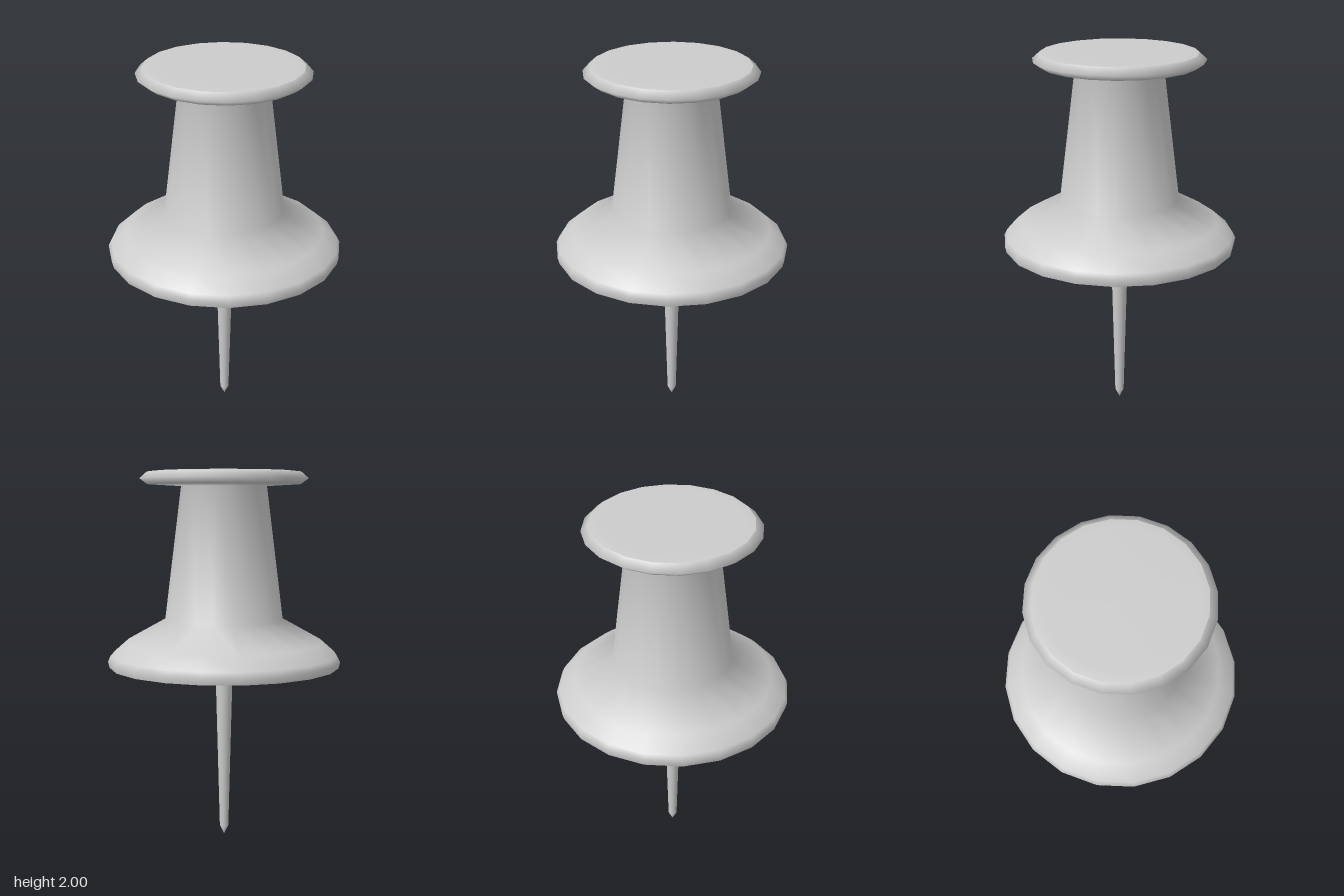
import * as THREE from 'three';

const SIDES = 20;

// Spin an [radius, height] profile, listed from bottom to top, around the y axis
function turned(name, profile, sides, material) {
  const points = profile.map(([r, y]) => new THREE.Vector2(r, y));
  const mesh = new THREE.Mesh(new THREE.LatheGeometry(points, sides), material);
  mesh.name = name;
  return mesh;
}

export function createModel() {
  const group = new THREE.Group();
  group.name = 'pushPin';
  const material = new THREE.MeshStandardMaterial({ color: 0xcccccc });

  // Flat underside, separate so its rim stays sharp
  group.add(turned('underside', [[0, 0.955], [0.622, 0.955]], SIDES, material));

  // Domed flange, tapered grip and rounded cap as one smooth body
  group.add(turned('handle', [
    [0.622, 0.955],
    [0.63, 0.99],
    [0.615, 1.02],
    [0.535, 1.09],
    [0.32, 1.21],
    [0.23, 1.92],
    [0.41, 1.93],
    [0.45, 1.96],
    [0.41, 1.995],
  ], SIDES, material));

  // Almost flat top of the cap
  group.add(turned('capTop', [[0.41, 1.995], [0.36, 2], [0, 2]], SIDES, material));

  // Tapered needle with a short point
  group.add(turned('needle', [[0, 0], [0.024, 0.05], [0.048, 0.96]], SIDES, material));

  return group;
}
